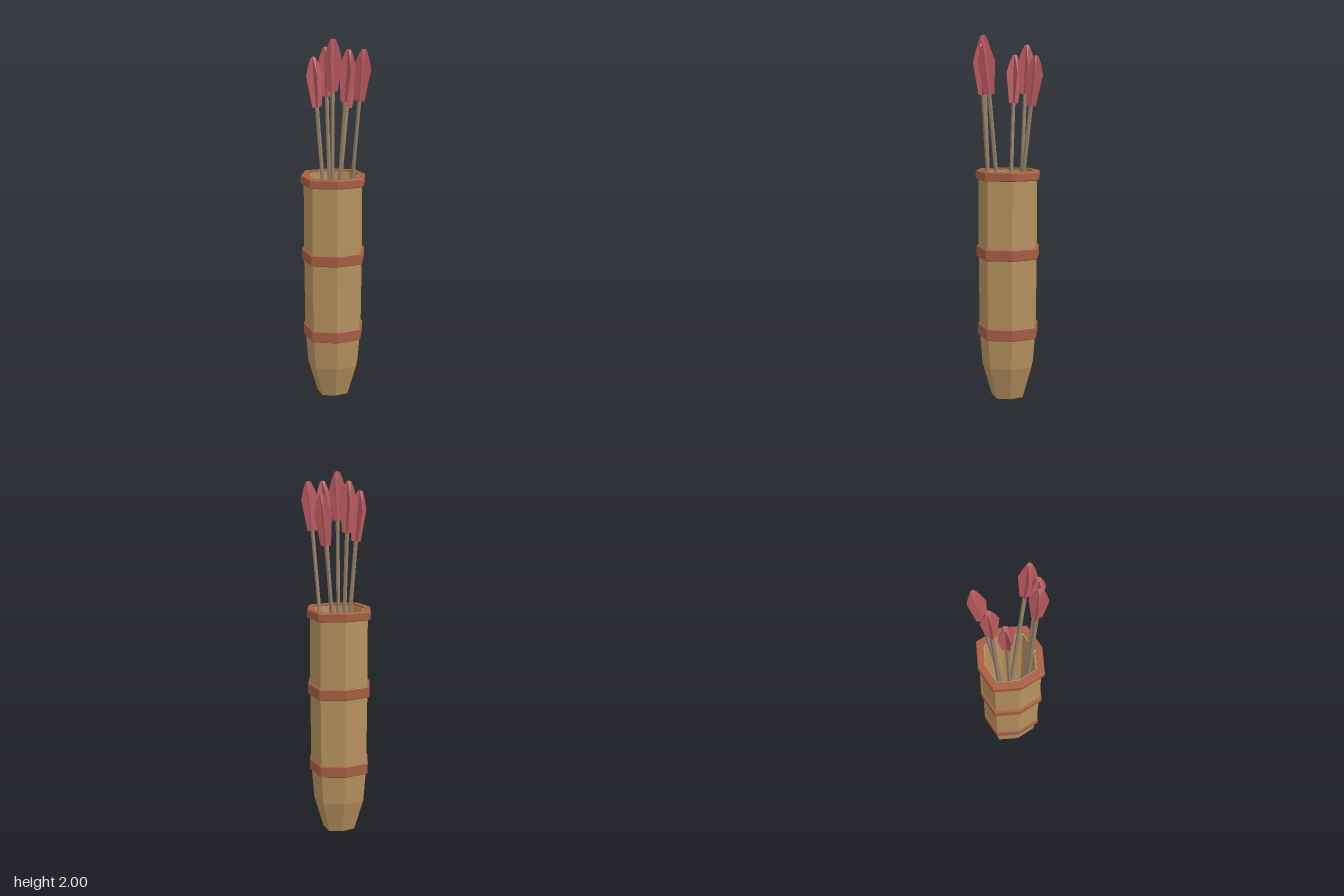
import * as THREE from 'three';

const material = (color) => new THREE.MeshStandardMaterial({ color, flatShading: true });
const leather = material(0xb8925f);
const strap = material(0xa65f42);
const wood = material(0x97826a);
const feather = material(0xba5a60);

const CENTER_Z = -0.01;
const FLOOR_Y = 0.4;

function part(name, geometry, mat) {
  const mesh = new THREE.Mesh(geometry, mat);
  mesh.name = name;
  return mesh;
}

// Eight-sided lathe whose diagonal corners are pushed out towards a square
function octagonLathe(profile) {
  const geometry = new THREE.LatheGeometry(profile.map(([r, y]) => new THREE.Vector2(r, y)), 8);
  const p = geometry.attributes.position;
  for (let i = 0; i < p.count; i++) {
    const x = p.getX(i), z = p.getZ(i);
    if (Math.abs(x) > 1e-4 && Math.abs(z) > 1e-4) p.setXYZ(i, x * 1.125, p.getY(i), z * 1.125);
  }
  return geometry.translate(0, 0, CENTER_Z).toNonIndexed();
}

// Rectangular strap section closed around the body
function band(name, y0, y1, inner, outer) {
  const b = 0.004;
  return part(name, octagonLathe([
    [inner, y0], [outer - b, y0], [outer, y0 + b], [outer, y1 - b],
    [outer - b, y1], [inner, y1], [inner, y0],
  ]), strap);
}

// Feather vane: flat outline, thick at the shaft and sharp at its outer edge
function vaneGeometry() {
  const reach = 0.046, half = 0.009;
  const outline = new THREE.Shape([[0, 0], [0.012, 0], [0.03, -0.04], [reach, -0.095], [0.026, -0.26], [0, -0.26]]
    .map(([x, y]) => new THREE.Vector2(x, y)));
  const geometry = new THREE.ExtrudeGeometry(outline, { depth: 2 * half, bevelEnabled: false });
  geometry.translate(0, 0, -half);
  const p = geometry.attributes.position;
  for (let i = 0; i < p.count; i++) {
    p.setZ(i, p.getZ(i) * Math.max(0.04, 1 - p.getX(i) / reach));
  }
  return geometry;
}

// Arrow from its nock end down to a point on the quiver floor
function arrow(nock, foot, spin, vane) {
  const group = new THREE.Group();
  group.name = 'arrow';
  const top = new THREE.Vector3(...nock);
  const axis = top.clone().sub(new THREE.Vector3(...foot));
  const length = axis.length();

  const shaft = new THREE.CylinderGeometry(0.011, 0.011, length, 6);
  group.add(part('shaft', shaft.translate(0, -length / 2, 0), wood));
  const tip = new THREE.CylinderGeometry(0.006, 0.006, 0.006, 6);
  group.add(part('nock', tip, feather));
  for (let i = 0; i < 4; i++) {
    const mesh = part('fletching', vane, feather);
    mesh.rotation.y = i * Math.PI / 2;
    group.add(mesh);
  }

  group.position.copy(top);
  group.quaternion.setFromUnitVectors(new THREE.Vector3(0, 1, 0), axis.normalize());
  group.rotateY(THREE.MathUtils.degToRad(spin));
  return group;
}

export function createModel() {
  const model = new THREE.Group();
  model.name = 'quiver';

  // Hollow body: outer wall, lip, inner wall and raised floor
  model.add(part('body', octagonLathe([
    [0, 0], [0.092, 0], [0.145, 0.19], [0.16, 0.39], [0.163, 0.83], [0.161, 1.27],
    [0.131, 1.27], [0.124, FLOOR_Y], [0, FLOOR_Y],
  ]), leather));

  // Straps and rim
  model.add(band('lowerStrap', 0.358, 0.424, 0.15, 0.169));
  model.add(band('middleStrap', 0.804, 0.866, 0.15, 0.175));
  model.add(band('rim', 1.233, 1.28, 0.138, 0.177));

  // Arrows: nock position, foot on the floor (x, z), twist in degrees
  const vane = vaneGeometry();
  const arrows = [
    [[-0.1, 1.9, -0.063], [0.005, -0.002], 12],
    [[-0.027, 1.95, -0.117], [0.008, -0.055], 0],
    [[0.12, 1.885, -0.142], [-0.036, -0.01], -10],
    [[-0.019, 1.997, 0.122], [-0.02, 0.07], -22],
    [[0.058, 1.945, 0.145], [-0.028, 0.052], 14],
    [[0.138, 1.945, 0.13], [0.037, -0.015], -15],
  ];
  for (const [nock, [x, z], spin] of arrows) {
    model.add(arrow(nock, [x, FLOOR_Y, z], spin, vane));
  }
  return model;
}
